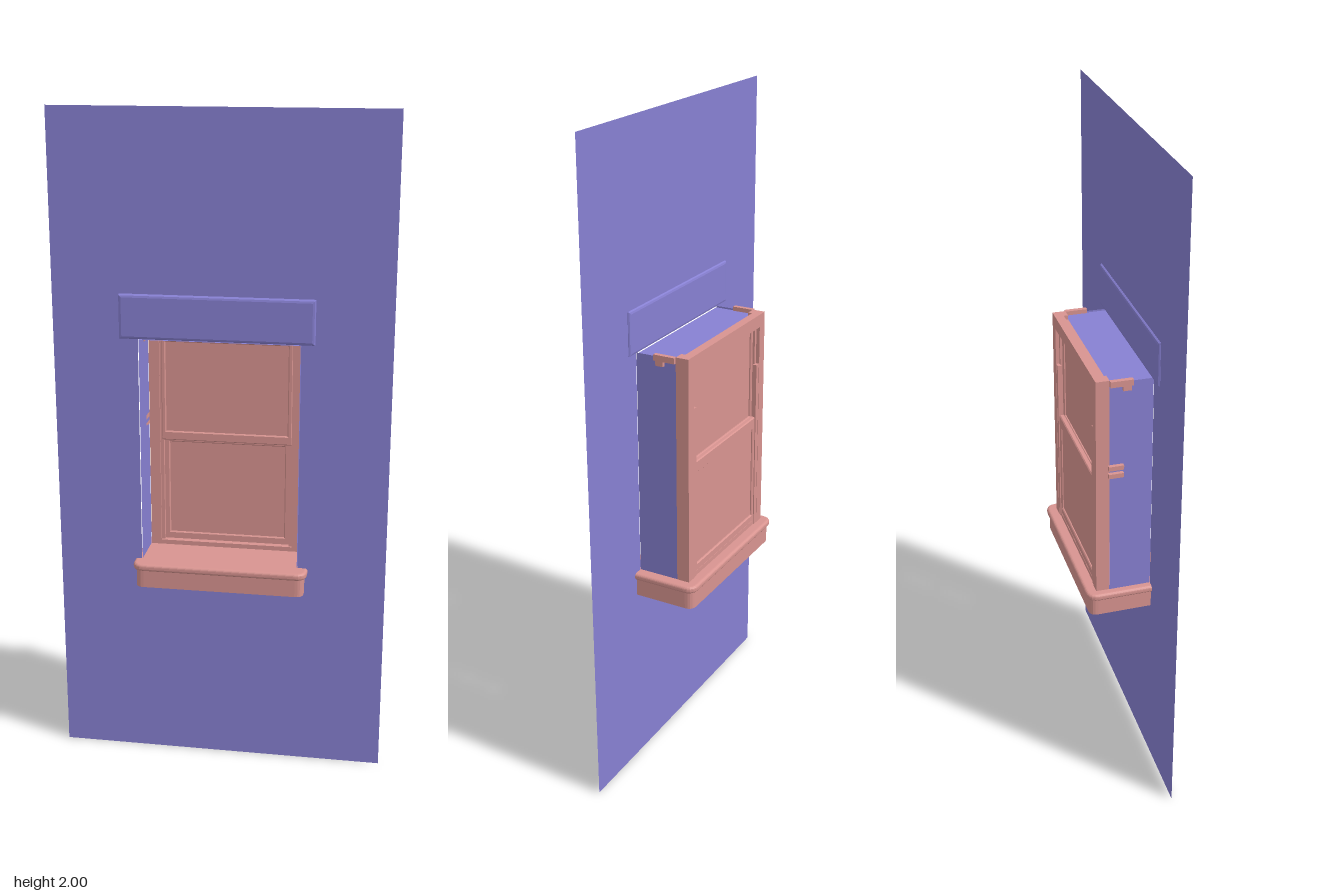
import * as THREE from 'three';

const blue = new THREE.MeshStandardMaterial({ color: 0x8780d2 });
const blueThin = new THREE.MeshStandardMaterial({ color: 0x8780d2, side: THREE.DoubleSide });
const pink = new THREE.MeshStandardMaterial({ color: 0xd89490 });

function rectPath(path, x0, x1, y0, y1) {
  path.moveTo(x0, y0);
  path.lineTo(x1, y0);
  path.lineTo(x1, y1);
  path.lineTo(x0, y1);
  path.closePath();
  return path;
}

function roundedRect(w, d, r) {
  const s = new THREE.Shape(), x = w / 2, y = d / 2;
  s.moveTo(-x + r, -y);
  s.lineTo(x - r, -y);
  s.quadraticCurveTo(x, -y, x, -y + r);
  s.lineTo(x, y - r);
  s.quadraticCurveTo(x, y, x - r, y);
  s.lineTo(-x + r, y);
  s.quadraticCurveTo(-x, y, -x, y - r);
  s.lineTo(-x, -y + r);
  s.quadraticCurveTo(-x, -y, -x + r, -y);
  return s;
}

export function createModel() {
  const model = new THREE.Group();
  model.name = 'windowInWall';

  const add = (name, geo, mat, parent = model) => {
    const m = new THREE.Mesh(geo, mat);
    m.name = name;
    parent.add(m);
    return m;
  };
  // box given by its limits on each axis
  const box = (name, x0, x1, y0, y1, z0, z1, parent = model, mat = pink) => {
    const m = add(name, new THREE.BoxGeometry(x1 - x0, y1 - y0, z1 - z0), mat, parent);
    m.position.set((x0 + x1) / 2, (y0 + y1) / 2, (z0 + z1) / 2);
    return m;
  };
  // rectangular ring with bevelled edges
  const ring = (name, [x0, x1, y0, y1], [a0, a1, b0, b1], z0, z1, parent = model) => {
    const b = 0.003;
    const s = rectPath(new THREE.Shape(), x0 + b, x1 - b, y0 + b, y1 - b);
    s.holes.push(rectPath(new THREE.Path(), a0 - b, a1 + b, b0 - b, b1 + b));
    const g = new THREE.ExtrudeGeometry(s, {
      depth: z1 - z0 - 2 * b, bevelSize: b, bevelThickness: b, bevelSegments: 1,
    });
    return add(name, g.translate(0, 0, z0 + b), pink, parent);
  };

  // thin wall sheet with the window opening
  const wall = rectPath(new THREE.Shape(), -0.5, 0.5, 0, 2);
  wall.holes.push(rectPath(new THREE.Path(), -0.245, 0.235, 0.63, 1.34));
  add('wall', new THREE.ShapeGeometry(wall).translate(0, 0, 0.072), blueThin);

  // reveal: sides and head of the opening, running back to the frame
  const reveal = new THREE.Group();
  reveal.name = 'reveal';
  model.add(reveal);
  for (const x of [-0.243, 0.233]) {
    const side = add('revealSide', new THREE.PlaneGeometry(0.127, 0.71), blueThin, reveal);
    side.rotation.y = x < 0 ? Math.PI / 2 : -Math.PI / 2;
    side.position.set(x, 0.985, 0.0085);
  }
  const head = add('revealHead', new THREE.PlaneGeometry(0.476, 0.127), blueThin, reveal);
  head.rotation.x = Math.PI / 2;
  head.position.set(-0.005, 1.335, 0.0085);

  // lintel board above the opening
  const lintelShape = rectPath(new THREE.Shape(), -0.29, 0.268, 1.348, 1.463);
  add('lintel', new THREE.ExtrudeGeometry(lintelShape, {
    depth: 0.013, bevelSize: 0.008, bevelThickness: 0.006, bevelSegments: 2,
  }).translate(0, 0, 0.071), blue);

  // sill: plain base and a bullnosed cap
  const sill = new THREE.Group();
  sill.name = 'sill';
  model.add(sill);
  const base = new THREE.ExtrudeGeometry(roundedRect(0.514, 0.236, 0.025), {
    depth: 0.056, bevelEnabled: false, curveSegments: 5,
  });
  add('sillBase', base.rotateX(-Math.PI / 2).translate(0, 0.57, 0), pink, sill);
  const cap = new THREE.ExtrudeGeometry(roundedRect(0.514, 0.234, 0.025), {
    depth: 0.006, bevelSize: 0.009, bevelThickness: 0.008, bevelSegments: 4, curveSegments: 5,
  });
  add('sillCap', cap.rotateX(-Math.PI / 2).translate(0, 0.632, 0), pink, sill);

  // outer window frame
  const frame = new THREE.Group();
  frame.name = 'windowFrame';
  model.add(frame);
  for (const s of [-1, 1]) {
    const c = -0.004;
    const at = (a, b) => (s > 0 ? [c + a, c + b] : [c - b, c - a]);
    box('jamb', ...at(0.206, 0.238), 0.64, 1.348, -0.095, -0.055, frame);
    box('innerStop', ...at(0.196, 0.207), 0.64, 1.32, -0.084, -0.062, frame);
    box('sashTrack', ...at(0.19, 0.207), 0.645, 1.19, -0.094, -0.08, frame);
  }
  box('headRail', -0.21, 0.202, 1.308, 1.348, -0.095, -0.068, frame);
  box('headStop', -0.21, 0.202, 1.318, 1.335, -0.07, -0.055, frame);
  box('bottomRail', -0.21, 0.202, 0.64, 0.66, -0.092, -0.055, frame);

  // upper sash in front, lower sash behind it
  const sashes = [
    ['upperSash', [-0.206, 0.198, 0.99, 1.318], [-0.192, 0.184, 1.018, 1.3], -0.077, -0.06],
    ['lowerSash', [-0.206, 0.198, 0.655, 1.018], [-0.184, 0.176, 0.682, 0.98], -0.091, -0.075],
  ];
  for (const [name, outer, inner, z0, z1] of sashes) {
    const sash = new THREE.Group();
    sash.name = name;
    model.add(sash);
    ring('sashFrame', outer, inner, z0, z1, sash);
    const zc = (z0 + z1) / 2;
    box('pane', inner[0] - 0.004, inner[1] + 0.004, inner[2] - 0.004, inner[3] + 0.004,
      zc - 0.002, zc + 0.002, sash);
  }

  // fixing clips beside the reveal
  for (const s of [-1, 1]) {
    const x = s < 0 ? -0.246 : 0.236;
    box('topClip', x - 0.007, x + 0.007, 1.33, 1.348, -0.055, 0.012);
    box('topClipTab', x - 0.006, x + 0.006, 1.315, 1.335, -0.018, 0.006);
  }
  for (const y of [1.04, 1.065]) {
    box('sideClip', -0.255, -0.243, y, y + 0.014, -0.06, -0.015);
  }
  return model;
}
